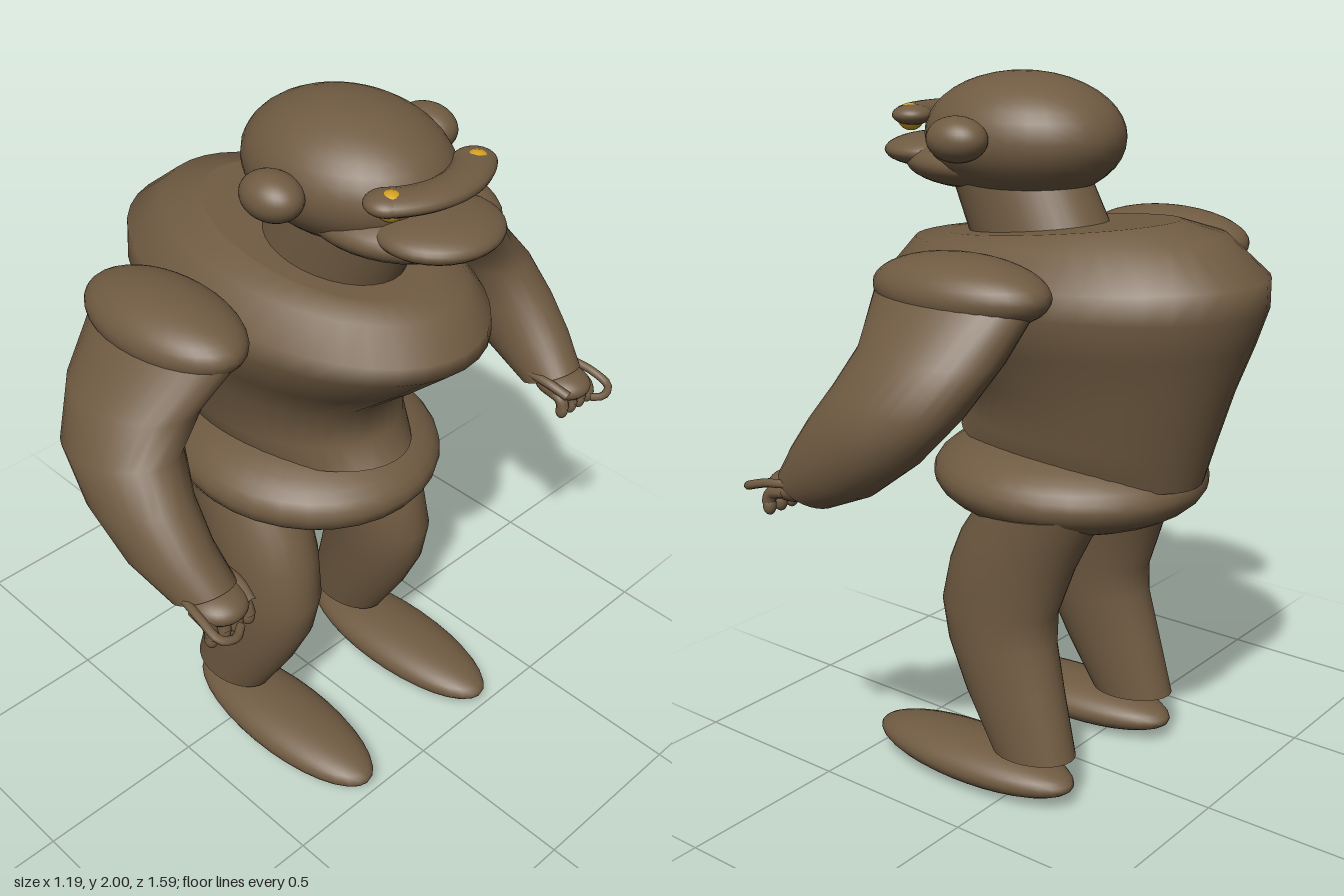
import * as THREE from 'three';

const skin = new THREE.MeshStandardMaterial({ color: 0x705b42 });
skin.name = 'brown skin';
const gold = new THREE.MeshStandardMaterial({ color: 0xd4a01e });
gold.name = 'gold eyes';

// Solid of elliptical rings, listed bottom to top.
// Each row: [backX, backY, frontX, frontY, centreZ, halfWidthZ]
function loft(rows, side = 1, n = 32) {
  const pos = [], idx = [];
  const ring = ([bx, by, fx, fy, cz, rz]) => {
    for (let j = 0; j < n; j++) {
      const a = (j / n) * Math.PI * 2, t = (1 + Math.cos(a)) / 2;
      pos.push(bx + (fx - bx) * t, by + (fy - by) * t, cz * side + Math.sin(a) * rz);
    }
  };
  rows.forEach(ring);
  for (let i = 0; i < rows.length - 1; i++) {
    for (let j = 0; j < n; j++) {
      const a = i * n + j, b = i * n + ((j + 1) % n);
      idx.push(a, a + n, b, b, a + n, b + n);
    }
  }
  // flat end caps with their own vertices
  [rows[0], rows[rows.length - 1]].forEach((row, top) => {
    const start = pos.length / 3;
    ring(row);
    const c = pos.length / 3;
    pos.push((row[0] + row[2]) / 2, (row[1] + row[3]) / 2, row[4] * side);
    for (let j = 0; j < n; j++) {
      const a = start + j, b = start + ((j + 1) % n);
      if (top) idx.push(c, b, a); else idx.push(c, a, b);
    }
  });
  const g = new THREE.BufferGeometry();
  g.setAttribute('position', new THREE.Float32BufferAttribute(pos, 3));
  g.setIndex(idx);
  g.computeVertexNormals();
  return g;
}

function ball(x, y, z, rx, ry, rz) {
  return new THREE.SphereGeometry(1, 32, 20).scale(rx, ry, rz).translate(x, y, z);
}

function tube(points, r) {
  const curve = new THREE.CatmullRomCurve3(points.map(p => new THREE.Vector3(...p)));
  return new THREE.TubeGeometry(curve, 16, r, 8);
}

export function createModel() {
  const model = new THREE.Group();
  model.name = 'figure';
  const add = (name, geometry, material = skin, parent = model) => {
    const m = new THREE.Mesh(geometry, material);
    m.name = name;
    parent.add(m);
    return m;
  };

  // Trunk
  add('torso', loft([
    [-0.43, 0.94, 0.34, 1.02, 0, 0.23],
    [-0.46, 1.05, 0.29, 1.08, 0, 0.262],
    [-0.51, 1.20, 0.28, 1.18, 0, 0.272],
    [-0.56, 1.33, 0.42, 1.30, 0, 0.335],
    [-0.595, 1.43, 0.55, 1.42, 0, 0.375],
    [-0.597, 1.51, 0.55, 1.465, 0, 0.365],
    [-0.47, 1.61, 0.475, 1.545, 0, 0.30],
    [-0.34, 1.64, 0.38, 1.56, 0, 0.22],
  ], 1, 40));
  add('pelvis', ball(-0.015, 0.912, 0, 0.4, 0.14, 0.365));
  add('neck', loft([
    [-0.15, 1.55, 0.285, 1.52, 0, 0.158],
    [-0.04, 1.75, 0.375, 1.74, 0, 0.155],
  ]));

  // Head
  add('head', ball(0.14, 1.83, 0, 0.295, 0.17, 0.235));
  add('jaw', ball(0.28, 1.75, 0, 0.24, 0.075, 0.192));
  add('lips', ball(0.44, 1.773, 0, 0.155, 0.05, 0.165));
  const arc = 1.4;
  add('brow', new THREE.TorusGeometry(0.232, 0.055, 16, 24, arc)
    .rotateZ(-arc / 2).rotateX(Math.PI / 2).scale(1, 0.5, 1).translate(0.233, 1.879, 0));

  for (const s of [-1, 1]) {
    add('browEnd', ball(0.41, 1.879, s * 0.15, 0.055, 0.0275, 0.055));
    add('eye', ball(0.42, 1.873, s * 0.146, 0.037, 0.037, 0.037), gold);
    add('ear', ball(0.153, 1.84, s * 0.265, 0.088, 0.06, 0.069));

    // Arm
    const arm = new THREE.Group();
    arm.name = 'arm';
    model.add(arm);
    add('shoulder', ball(-0.022, 1.505, s * 0.465, 0.263, 0.092, 0.147), skin, arm);
    add('sleeve', loft([
      [0.25, 0.935, 0.41, 1.02, 0.67, 0.082],
      [0.10, 1.00, 0.345, 1.10, 0.685, 0.10],
      [-0.05, 1.11, 0.275, 1.19, 0.682, 0.115],
      [-0.165, 1.235, 0.205, 1.285, 0.655, 0.13],
      [-0.225, 1.36, 0.19, 1.37, 0.575, 0.14],
      [-0.26, 1.50, 0.235, 1.50, 0.465, 0.135],
    ], s), skin, arm);

    // Hand
    add('palm', ball(0.375, 0.972, s * 0.668, 0.085, 0.042, 0.075), skin, arm);
    for (let i = 0; i < 4; i++) {
      const z = s * (0.612 + i * 0.039);
      add('finger', tube([[0.36, 0.97, z], [0.415, 0.955, z], [0.428, 0.925, z]], 0.018), skin, arm);
      add('fingertip', ball(0.424, 0.92, z, 0.018, 0.026, 0.018), skin, arm);
    }
    add('thumb', tube([
      [0.31, 1.0, s * 0.735], [0.41, 0.99, s * 0.75], [0.48, 0.968, s * 0.748],
      [0.493, 0.958, s * 0.71], [0.47, 0.958, s * 0.675],
    ], 0.012), skin, arm);
    add('cuff', tube([[0.3, 1.0, s * 0.6], [0.38, 0.995, s * 0.6], [0.44, 0.975, s * 0.612]], 0.014), skin, arm);

    // Leg and foot
    add('leg', loft([
      [-0.2, 0.155, 0.065, 0.14, 0.245, 0.09],
      [-0.155, 0.33, 0.16, 0.30, 0.238, 0.105],
      [-0.12, 0.47, 0.225, 0.44, 0.23, 0.117],
      [-0.12, 0.56, 0.248, 0.56, 0.225, 0.125],
      [-0.17, 0.70, 0.222, 0.68, 0.216, 0.135],
      [-0.215, 0.79, 0.185, 0.77, 0.21, 0.137],
      [-0.265, 0.885, 0.13, 0.85, 0.207, 0.138],
    ], s));
    add('foot', ball(0.153, 0.068, s * 0.245, 0.352, 0.068, 0.126));
  }
  return model;
}
